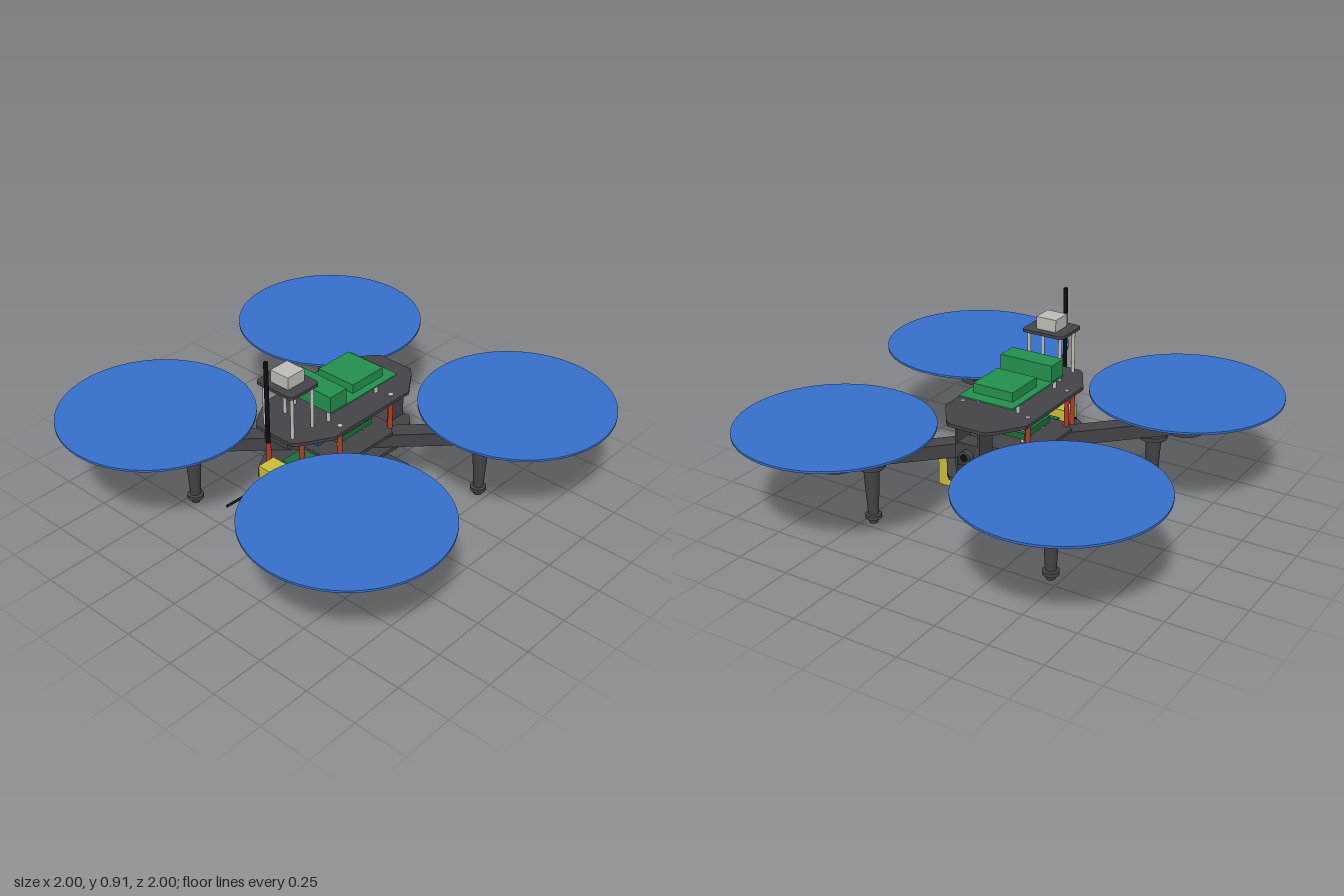
import * as THREE from 'three';

const mat = (name, color) => {
  const m = new THREE.MeshStandardMaterial({ color });
  m.name = name;
  return m;
};
const M = {
  dark: mat('carbon grey', 0x434348),
  motor: mat('motor grey', 0x80808a),
  rotor: mat('rotor blue', 0x3570cc),
  chip: mat('chip blue', 0x2f529e),
  green: mat('board green', 0x23904e),
  deep: mat('dark green', 0x1b6e36),
  yellow: mat('battery yellow', 0xcbbe35),
  red: mat('standoff red', 0xb03c24),
  silver: mat('silver', 0xbebcb6),
  black: mat('antenna black', 0x0c0c0e),
};

export function createModel() {
  const root = new THREE.Group();
  root.name = 'quadcopter';

  const add = (name, geo, material, parent = root) => {
    const mesh = new THREE.Mesh(geo, material);
    mesh.name = name;
    parent.add(mesh);
    return mesh;
  };
  // Box given by its extents, symmetric in z
  const box = (name, x0, x1, y0, y1, halfZ, material) =>
    add(name, new THREE.BoxGeometry(x1 - x0, y1 - y0, halfZ * 2), material)
      .position.set((x0 + x1) / 2, (y0 + y1) / 2, 0);
  // Upright post
  const post = (name, x, z, y0, y1, r, material, parent = root) =>
    add(name, new THREE.CylinderGeometry(r, r, y1 - y0, 16), material, parent)
      .position.set(x, (y0 + y1) / 2, z);
  // Rod between two points
  const rod = (name, a, b, r, material) => {
    const p = new THREE.Vector3(...a), q = new THREE.Vector3(...b);
    const d = q.clone().sub(p);
    const mesh = add(name, new THREE.CylinderGeometry(r, r, d.length(), 16), material);
    mesh.position.copy(p).add(q).multiplyScalar(0.5);
    mesh.quaternion.setFromUnitVectors(new THREE.Vector3(0, 1, 0), d.normalize());
  };
  // Horizontal plate cut from a shape drawn in x and z
  const plate = (name, shape, y0, y1, material, parent = root) => {
    const geo = new THREE.ExtrudeGeometry(shape, { depth: y1 - y0, bevelEnabled: false, curveSegments: 16 });
    geo.rotateX(Math.PI / 2).translate(0, y1, 0);
    return add(name, geo, material, parent);
  };
  const polygon = pts => new THREE.Shape(pts.map(p => new THREE.Vector2(...p)));
  const roundRect = (cx, cz, hx, hz, r, Kind = THREE.Shape) => {
    const s = new Kind();
    s.absarc(cx + hx - r, cz + hz - r, r, 0, Math.PI / 2);
    s.absarc(cx - hx + r, cz + hz - r, r, Math.PI / 2, Math.PI);
    s.absarc(cx - hx + r, cz - hz + r, r, Math.PI, Math.PI * 1.5);
    s.absarc(cx + hx - r, cz - hz + r, r, Math.PI * 1.5, Math.PI * 2);
    s.closePath();
    return s;
  };
  const signs = [-1, 1];

  // Frame plates
  const half = [[0.39, 0.09], [0.36, 0.12], [0.24, 0.205], [-0.24, 0.205], [-0.37, 0.13], [-0.4, 0.1]];
  const outline = [...half, ...half.map(([x, z]) => [x, -z]).reverse()];
  plate('topPlate', polygon(outline), 0.53, 0.545, M.dark);
  plate('lowerPlate', polygon(outline), 0.278, 0.295, M.dark);
  plate('middlePlate', polygon([[0.19, 0.15], [0.14, 0.2], [-0.15, 0.2], [-0.2, 0.15],
    [-0.2, -0.15], [-0.15, -0.2], [0.14, -0.2], [0.19, -0.15]]), 0.36, 0.375, M.dark);

  // Arms with motor, rotor and leg; local +x points outwards
  const reach = Math.hypot(0.56, 0.56), legAt = Math.hypot(0.455, 0.455);
  const legProfile = [[0, 0.275], [0.036, 0.275], [0.033, 0.2], [0.024, 0.045], [0.037, 0.042],
    [0.037, 0.024], [0.024, 0.018], [0.02, 0], [0, 0]].map(p => new THREE.Vector2(...p)).reverse();
  for (const sx of signs) for (const sz of signs) {
    const arm = new THREE.Group();
    arm.name = 'armAssembly';
    arm.rotation.y = Math.atan2(-sz, sx);
    root.add(arm);
    add('arm', new THREE.BoxGeometry(0.63, 0.065, 0.08), M.dark, arm).position.set(0.4, 0.3275, 0);
    const ring = new THREE.Shape().absarc(reach, 0, 0.088, 0, Math.PI * 2);
    ring.holes.push(new THREE.Path().absarc(reach, 0, 0.07, 0, Math.PI * 2));
    plate('motorMount', ring, 0.295, 0.36, M.dark, arm);
    post('motorBase', reach, 0, 0.315, 0.365, 0.0695, M.motor, arm);
    add('motor', new THREE.CylinderGeometry(0.086, 0.086, 0.105, 40), M.motor, arm).position.set(reach, 0.4125, 0);
    post('motorShaft', reach, 0, 0.46, 0.482, 0.02, M.motor, arm);
    add('rotorDisc', new THREE.CylinderGeometry(0.439, 0.439, 0.01, 72), M.rotor, arm).position.set(reach, 0.484, 0);
    post('legFlange', legAt, 0, 0.274, 0.295, 0.064, M.dark, arm);
    const leg = new THREE.LatheGeometry(legProfile, 20).toNonIndexed();
    leg.computeVertexNormals();
    add('leg', leg, M.dark, arm).position.set(legAt, 0, 0);
  }

  // Standoffs and screws
  for (const s of signs) {
    for (const x of [-0.165, 0.165]) {
      post('standoff', x, s * 0.165, 0.375, 0.53, 0.011, M.red);
      post('screwHead', x, s * 0.165, 0.545, 0.548, 0.011, M.silver);
    }
    post('rearStandoff', -0.33, s * 0.1, 0.295, 0.53, 0.011, M.red);
    for (const x of [-0.115, 0.115]) post('batteryStandoff', x, s * 0.115, 0.24, 0.28, 0.01, M.red);
    for (const x of [-0.09, 0.08]) post('stackPost', x, s * 0.085, 0.375, 0.45, 0.007, M.silver);
    for (const x of [-0.165, 0.14]) post('boardPost', x, s * 0.1, 0.545, 0.6, 0.009, M.silver);
    for (const x of [-0.365, -0.245]) post('mastPost', x, s * 0.08, 0.545, 0.752, 0.008, M.silver);
  }

  // Battery hung below on a slotted tray
  const tray = roundRect(0, 0, 0.15, 0.312, 0.03);
  for (const sx of signs) for (const sz of signs)
    tray.holes.push(roundRect(sx * 0.12, sz * 0.243, 0.008, 0.036, 0.004, THREE.Path));
  plate('batteryTray', tray, 0.23, 0.242, M.dark);
  box('battery', -0.11, 0.11, 0.07, 0.23, 0.34, M.yellow);
  box('batteryBoard', -0.1, 0.1, 0.05, 0.07, 0.15, M.deep);

  // Electronics between the plates
  box('controlBoard', -0.11, 0.103, 0.4, 0.43, 0.11, M.deep);
  box('controlModule', -0.09, 0.085, 0.45, 0.473, 0.09, M.chip);
  box('smallModule', -0.16, -0.12, 0.375, 0.4, 0.03, M.chip);
  box('rearModule', -0.42, -0.33, 0.298, 0.358, 0.073, M.yellow);
  box('powerBoard', -0.3, -0.1, 0.31, 0.335, 0.05, M.deep);
  box('receiver', -0.385, -0.24, 0.49, 0.53, 0.07, M.dark);
  box('lowerRadio', -0.36, -0.165, 0.205, 0.278, 0.06, M.dark);

  // Computer on the top plate
  box('topModule', 0, 0.115, 0.545, 0.585, 0.045, M.chip);
  box('computerBoard', -0.185, 0.24, 0.6, 0.607, 0.135, M.green);
  box('computerCooler', -0.012, 0.182, 0.607, 0.65, 0.1, M.green);
  box('computerPorts', -0.187, -0.087, 0.607, 0.682, 0.131, M.green);

  // Positioning mast
  const mast = plate('mastPlate', roundRect(0, 0, 0.086, 0.105, 0.02), 0.75, 0.764, M.dark);
  mast.position.x = -0.307;
  box('positionSensor', -0.355, -0.257, 0.764, 0.822, 0.05, M.silver);

  // Forward camera with side brackets
  for (const s of signs)
    add('cameraBracket', new THREE.BoxGeometry(0.1, 0.235, 0.01), M.dark).position.set(0.33, 0.4125, s * 0.056);
  box('cameraBody', 0.295, 0.378, 0.36, 0.465, 0.051, M.dark);
  rod('cameraLens', [0.37, 0.412, 0], [0.408, 0.412, 0], 0.03, M.dark);
  rod('lensGlass', [0.407, 0.412, 0], [0.41, 0.412, 0], 0.018, M.black);

  // Downward sensor
  box('sensorPlate', 0.265, 0.38, 0.248, 0.256, 0.06, M.dark);
  box('downSensor', 0.3, 0.348, 0.225, 0.248, 0.03, M.chip);
  for (const s of signs) post('sensorPost', 0.32, s * 0.045, 0.255, 0.28, 0.005, M.dark);

  // Antennas
  rod('mastAntenna', [-0.43, 0.52, 0], [-0.43, 0.912, 0], 0.01, M.black);
  rod('thickAntenna', [-0.45, 0.325, 0], [-0.53, 0.188, 0], 0.025, M.black);
  for (const s of signs)
    rod('thinAntenna', [-0.42, 0.285, s * 0.03], [-0.532, 0.158, s * 0.165], 0.006, M.black);

  return root;
}
